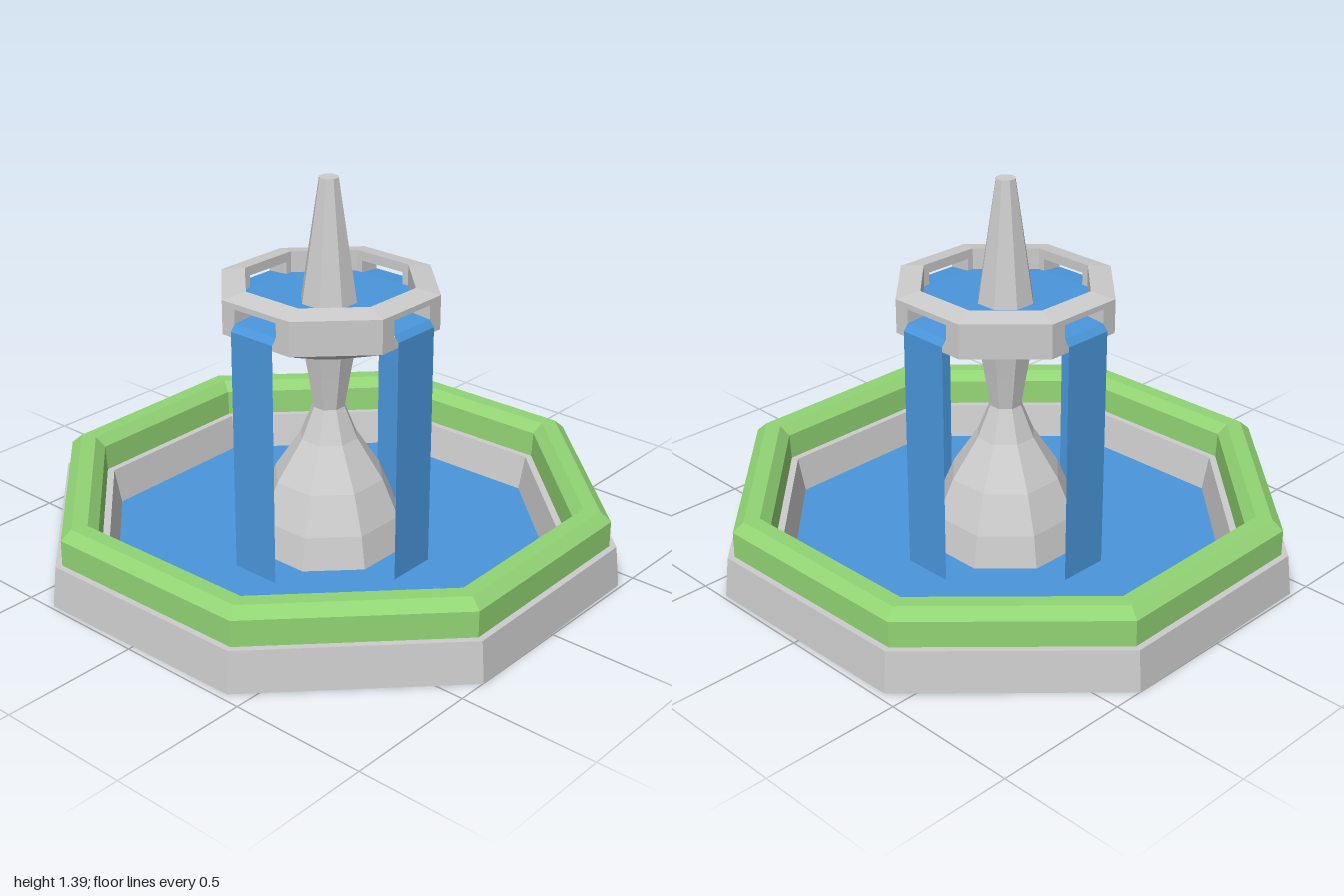
import * as THREE from 'three';

const mat = (color) => new THREE.MeshStandardMaterial({ color, flatShading: true, side: THREE.DoubleSide });
const stone = mat(0xcccccc), hedgeGreen = mat(0x92d474), water = mat(0x4a96dc);

const SIDES = 8;
const CORNER = 1 / Math.cos(Math.PI / SIDES); // flat-to-flat radius -> corner radius

function add(parent, name, geometry, material) {
  const mesh = new THREE.Mesh(geometry, material);
  mesh.name = name;
  parent.add(mesh);
  return mesh;
}

// Octagonal ring swept from [distance to flat side, y] points
function octagon(parent, name, points, material) {
  const profile = points.map(([r, y]) => new THREE.Vector2(r * CORNER, y));
  return add(parent, name, new THREE.LatheGeometry(profile, SIDES, Math.PI / SIDES), material);
}

// Flat sheet of given width following [z, y] points
function sheet(parent, name, points, halfWidth, material) {
  const geo = new THREE.PlaneGeometry(2 * halfWidth, 1, 1, points.length - 1);
  const pos = geo.attributes.position;
  for (let i = 0; i < pos.count; i++) {
    const [z, y] = points[Math.floor(i / 2)];
    pos.setXYZ(i, pos.getX(i), y, z);
  }
  geo.computeVertexNormals();
  return add(parent, name, geo, material);
}

// Upright wall panel with an optional window
function panel(parent, name, z, bottom, top, window) {
  const half = z * Math.tan(Math.PI / SIDES);
  const shape = new THREE.Shape([
    new THREE.Vector2(-half, bottom), new THREE.Vector2(half, bottom),
    new THREE.Vector2(half, top), new THREE.Vector2(-half, top),
  ]);
  if (window) {
    const { w, low, high } = window;
    shape.holes.push(new THREE.Path([
      new THREE.Vector2(-w, low), new THREE.Vector2(-w, high),
      new THREE.Vector2(w, high), new THREE.Vector2(w, low),
    ]));
  }
  add(parent, name, new THREE.ShapeGeometry(shape), stone).position.z = z;
}

export function createModel() {
  const model = new THREE.Group();
  model.name = 'fountain';

  // Basin: sloped stone wall, hedge on top, pool inside
  const basin = new THREE.Group();
  basin.name = 'basin';
  basin.rotation.y = 0.017;
  basin.scale.x = 0.985;
  model.add(basin);
  octagon(basin, 'basinOuterWall', [[0.995, 0], [0.98, 0.15], [0.955, 0.15]], stone);
  octagon(basin, 'basinInnerWall', [[0.83, 0.15], [0.80, 0.15], [0.775, 0.015]], stone);
  octagon(basin, 'hedge', [
    [0.957, 0.15], [0.957, 0.245], [0.92, 0.28], [0.865, 0.28], [0.83, 0.245], [0.825, 0.15],
  ], hedgeGreen);
  octagon(basin, 'poolWater', [[0.777, 0.02], [0.26, 0.02]], water);

  // Flared column, bowl underside and spire
  octagon(model, 'column', [
    [0.09, 0.77], [0.075, 0.68], [0.055, 0.55], [0.1, 0.43], [0.19, 0.28], [0.245, 0.14], [0.27, 0.01],
  ], stone);
  octagon(model, 'bowlUnderside', [[0.09, 0.76], [0.373, 0.89]], stone);
  octagon(model, 'bowlRim', [[0.373, 1.015], [0.29, 1.03]], stone);
  octagon(model, 'bowlWater', [[0.29, 0.95], [0, 0.95]], water);
  octagon(model, 'spire', [[0.097, 0.94], [0.033, 1.395], [0, 1.395]], stone);

  // Bowl sides: every other one has an outlet with falling water
  const outlet = { w: 0.095, low: 0.935, high: 0.995 };
  for (let i = 0; i < SIDES; i++) {
    const side = new THREE.Group();
    side.name = `bowlSide${i + 1}`;
    side.rotation.y = (i * 2 * Math.PI) / SIDES;
    model.add(side);
    const open = i % 2 === 0 ? outlet : null;
    panel(side, 'bowlOuterWall', 0.373, 0.89, 1.015, open);
    panel(side, 'bowlInnerWall', 0.29, 0.9, 1.03, open);
    if (!open) continue;

    const midY = (outlet.low + outlet.high) / 2;
    for (const s of [-1, 1]) {
      const jamb = add(side, 'outletJamb', new THREE.PlaneGeometry(0.083, outlet.high - outlet.low), stone);
      jamb.rotation.y = Math.PI / 2;
      jamb.position.set(s * outlet.w, midY, 0.3315);
    }
    sheet(side, 'outletCeiling', [[0.29, outlet.high], [0.373, outlet.high]], outlet.w, stone);
    sheet(side, 'waterfall', [[0.28, 0.95], [0.373, 0.943], [0.392, 0.92], [0.392, 0.02]], outlet.w, water);
  }
  return model;
}
